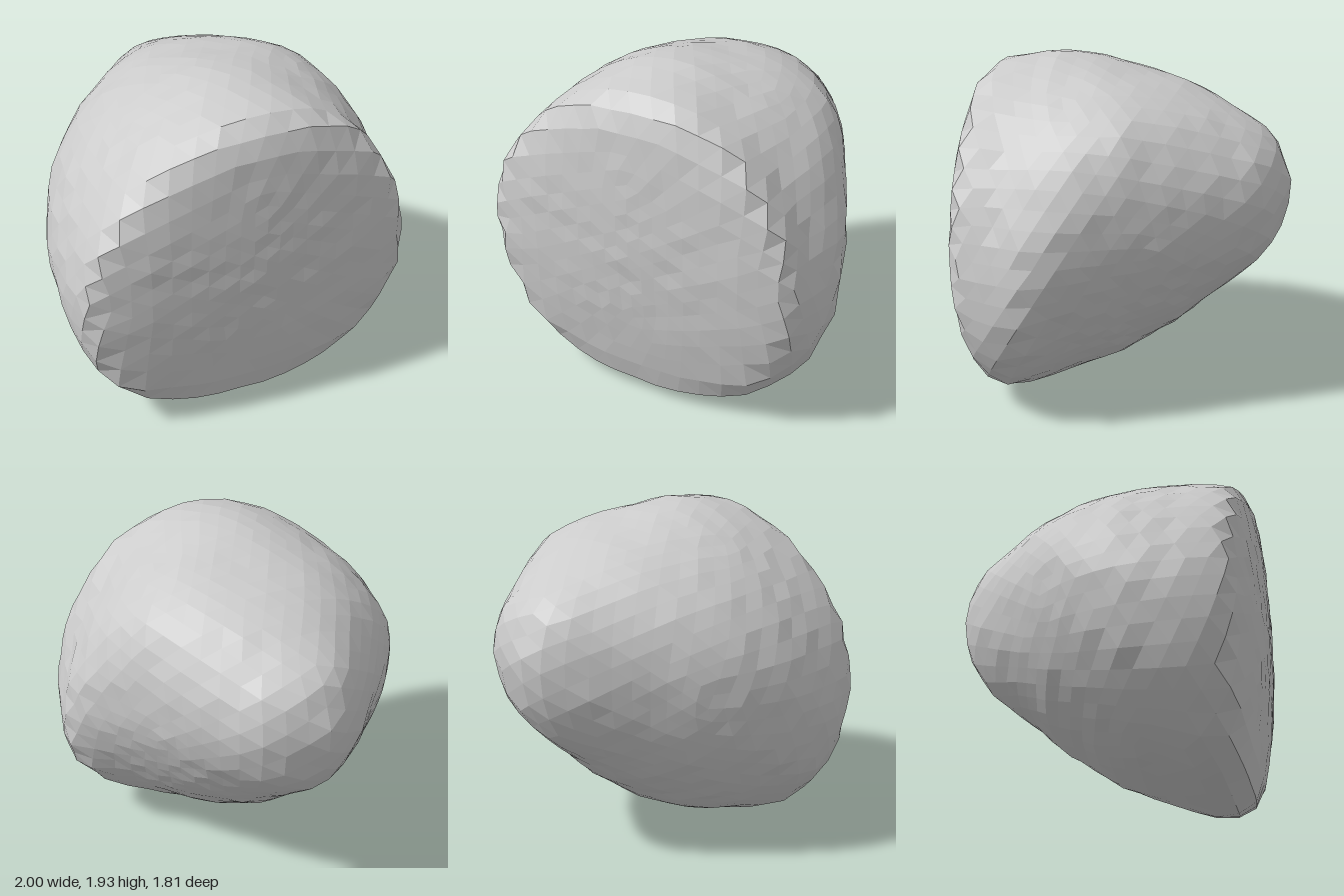
import * as THREE from 'three';

// Extents of each slice, front to back: z, xMin, xMax, yMax, yMin
const SLICES = [
  [0.898, -0.1, 0.1, 1.25, 0.98],
  [0.88, -0.38, 0.38, 1.52, 0.76],
  [0.855, -0.66, 0.66, 1.75, 0.52],
  [0.81, -0.87, 0.85, 1.83, 0.27],
  [0.775, -0.96, 0.9, 1.87, 0.1],
  [0.71, -0.98, 0.93, 1.89, 0.02],
  [0.57, -1, 0.97, 1.915, 0],
  [0.4, -1, 1, 1.935, 0.04],
  [0.2, -0.98, 0.94, 1.91, 0.1],
  [0, -0.91, 0.83, 1.86, 0.19],
  [-0.1, -0.87, 0.78, 1.835, 0.27],
  [-0.3, -0.72, 0.68, 1.78, 0.41],
  [-0.45, -0.57, 0.6, 1.72, 0.55],
  [-0.6, -0.43, 0.5, 1.64, 0.67],
  [-0.73, -0.3, 0.41, 1.57, 0.79],
  [-0.81, -0.2, 0.32, 1.51, 0.9],
  [-0.87, -0.12, 0.14, 1.37, 1.02],
  [-0.895, -0.07, 0.02, 1.28, 1.1],
];

// Character of the slices: z, height of widest point left (-x) and right (+x),
// x of the crown, x of the keel, fullness of the four quadrants
const SHAPE = [
  [0.9, 1.1, 1.1, 0, 0, 2, 2, 2, 2],
  [0.775, 0.97, 0.82, 0.02, 0.02, 2.1, 1.8, 2.4, 2],
  [0.57, 0.92, 0.68, -0.02, 0.02, 1.95, 1.75, 2.4, 2],
  [0.4, 0.95, 0.82, -0.03, 0.02, 1.9, 1.7, 2.2, 1.8],
  [0.2, 1, 1.02, -0.03, 0, 2.1, 1.75, 2.1, 1.65],
  [-0.1, 1.1, 1.15, -0.03, 0, 3, 1.85, 2, 1.7],
  [-0.5, 1.18, 1.22, 0, 0, 2.2, 2, 2, 1.85],
  [-0.9, 1.2, 1.22, -0.03, -0.03, 2, 2, 2, 2],
];

// Row of a table interpolated at z
function rowAt(table, z) {
  let i = 0;
  while (i < table.length - 2 && z < table[i + 1][0]) i++;
  const a = table[i], b = table[i + 1];
  const t = (a[0] - z) / (a[0] - b[0]);
  return a.map((v, k) => THREE.MathUtils.lerp(v, b[k], t));
}

// Each slice is four superellipse quadrants around its crown, keel and sides
function isInside({ x, y, z }) {
  if (z > SLICES[0][0] || z < SLICES[SLICES.length - 1][0]) return false;
  const [, xMin, xMax, yMax, yMin] = rowAt(SLICES, z);
  const [, wideL, wideR, crown, keel, tr, tl, bl, br] = rowAt(SHAPE, z);
  const middle = (crown + keel) / 2;
  const right = x >= middle;
  const wide = right ? wideR : wideL;
  const up = y >= wide;
  const cx = up ? crown : keel;
  const n = up ? (right ? tr : tl) : (right ? br : bl);
  const u = Math.max(0, (x - cx) / ((right ? xMax : xMin) - cx));
  const v = (y - wide) / ((up ? yMax : yMin) - wide);
  return Math.pow(u, n) + Math.pow(v, n) < 1;
}

// Evenly faceted ball pushed out from the core to the rock surface
function createRockGeometry() {
  const geometry = new THREE.IcosahedronGeometry(1, 9);
  const core = new THREE.Vector3(0, 1, 0.2);
  const position = geometry.attributes.position;
  const direction = new THREE.Vector3(), point = new THREE.Vector3();
  for (let i = 0; i < position.count; i++) {
    direction.fromBufferAttribute(position, i).normalize();
    let near = 0, far = 2;
    for (let step = 0; step < 24; step++) {
      const r = (near + far) / 2;
      point.copy(core).addScaledVector(direction, r);
      if (isInside(point)) near = r;
      else far = r;
    }
    // Slight chipping of the facets
    const { x, y, z } = direction;
    const chip = Math.sin(17 * x + 5 * y) * Math.sin(19 * y - 7 * z) * Math.sin(15 * z + 9 * x);
    point.copy(core).addScaledVector(direction, near * (1.002 + 0.01 * chip));
    position.setXYZ(i, point.x, Math.max(0, point.y), point.z);
  }
  geometry.computeVertexNormals();
  return geometry;
}

export function createModel() {
  const group = new THREE.Group();
  group.name = 'boulder';
  const rock = new THREE.Mesh(
    createRockGeometry(),
    new THREE.MeshStandardMaterial({ color: 0xcccccc, flatShading: true })
  );
  rock.name = 'rock';
  group.add(rock);
  return group;
}
